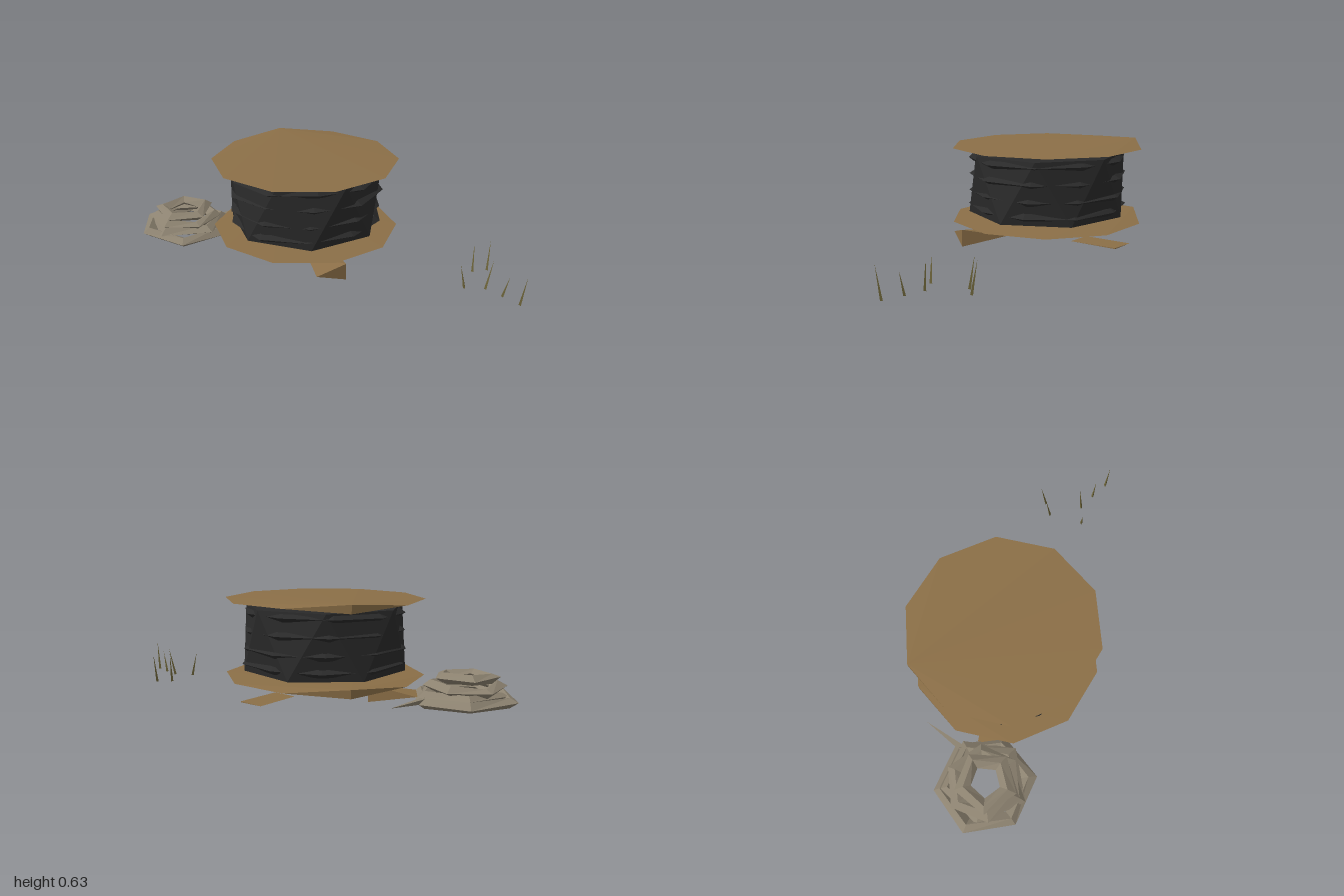
import * as THREE from 'three';

const wood = new THREE.MeshStandardMaterial({ color: 0x8b6f47 });
const cable = new THREE.MeshStandardMaterial({ color: 0x2a2a2a });
const rope = new THREE.MeshStandardMaterial({ color: 0x8c8270 });
const grass = new THREE.MeshStandardMaterial({ color: 0x6b6238 });
wood.name = 'wood';
cable.name = 'black cable';
rope.name = 'weathered rope';
grass.name = 'dry grass';

// Faceted mesh: every face gets its own normal
function faceted(name, geometry, material) {
  const g = geometry.index ? geometry.toNonIndexed() : geometry;
  g.computeVertexNormals();
  const mesh = new THREE.Mesh(g, material);
  mesh.name = name;
  return mesh;
}

// Slab that is thick at its first corner and thins to an edge at all the others.
// Corners are [x, z], counter-clockwise from above.
function wedgeSlab(name, corners, y, half) {
  const p = corners.map(([x, z]) => [x, y, z]);
  const top = [corners[0][0], y + half, corners[0][1]];
  const bottom = [corners[0][0], y - half, corners[0][1]];
  const n = p.length;
  const faces = [bottom, p[1], top, p[n - 1], bottom, top];
  for (let i = 1; i < n - 1; i++) {
    faces.push(top, p[i], p[i + 1], bottom, p[i + 1], p[i]);
  }
  const g = new THREE.BufferGeometry();
  g.setAttribute('position', new THREE.Float32BufferAttribute(faces.flat(), 3));
  return faceted(name, g, wood);
}

// Rough flat loop with few sides
function looseRing(name, material, radius, tube, sides, squash, wobble, seed) {
  const g = new THREE.TorusGeometry(radius, tube, 4, sides);
  g.rotateX(Math.PI / 2);
  g.scale(1, squash, 1);
  const pos = g.attributes.position;
  for (let i = 0; i < pos.count; i++) {
    const x = pos.getX(i), y = pos.getY(i), z = pos.getZ(i);
    const k = 1 + wobble * Math.sin(x * 23 + z * 17 + seed * 2.1);
    const dy = wobble * 0.25 * Math.sin(x * 19 - z * 29 + seed * 3.7);
    pos.setXYZ(i, x * k, y + dy, z * k);
  }
  g.rotateY(seed * 1.3);
  return faceted(name, g, material);
}

// Thin three-sided spike between two points
function spike(name, from, to, radius, material) {
  const a = new THREE.Vector3(...from), d = new THREE.Vector3(...to).sub(a);
  const g = new THREE.ConeGeometry(radius, d.length(), 3);
  g.translate(0, d.length() / 2, 0);
  const mesh = faceted(name, g, material);
  mesh.position.copy(a);
  mesh.quaternion.setFromUnitVectors(new THREE.Vector3(0, 1, 0), d.normalize());
  return mesh;
}

function createSpool() {
  const spool = new THREE.Group();
  spool.name = 'cableSpool';
  spool.position.set(0.008, 0, -0.222);

  // Ten-sided end discs
  const disc = Array.from({ length: 10 }, (_, i) => {
    const a = Math.PI + i * Math.PI / 5;
    return [0.596 * Math.sin(a), 0.596 * Math.cos(a)];
  });
  spool.add(wedgeSlab('lowerDisc', disc, 0.15, 0.025));
  spool.add(wedgeSlab('upperDisc', disc, 0.605, 0.025));

  // Core inside the winding
  const core = faceted('core', new THREE.CylinderGeometry(0.3, 0.3, 0.41, 8), wood);
  core.position.y = 0.375;
  spool.add(core);

  // Wound drum: seven sides, upper rim turned half a side
  const g = new THREE.CylinderGeometry(0.485, 0.485, 0.38, 7);
  g.rotateY(Math.PI / 2);
  const pos = g.attributes.position, v = new THREE.Vector3();
  for (let i = 0; i < pos.count; i++) {
    v.fromBufferAttribute(pos, i);
    if (v.y > 0) v.applyAxisAngle(new THREE.Vector3(0, 1, 0), -Math.PI / 7);
    pos.setXYZ(i, v.x, v.y, v.z);
  }
  const drum = faceted('woundDrum', g, cable);
  drum.position.y = 0.377;
  spool.add(drum);

  // Outer cable turns
  [0.235, 0.33, 0.43, 0.535].forEach((y, i) => {
    const turn = looseRing('cableTurn', cable, 0.457, 0.035, 10, 0.65, 0.02, i + 1);
    turn.position.y = y;
    spool.add(turn);
  });
  return spool;
}

function createRopeCoil() {
  const coil = new THREE.Group();
  coil.name = 'ropeCoil';
  // x, y, z, radius, sides
  [
    [-0.70, 0.06, -0.66, 0.265, 6],
    [-0.69, 0.085, -0.66, 0.225, 5],
    [-0.71, 0.125, -0.66, 0.19, 6],
    [-0.715, 0.18, -0.65, 0.145, 5],
  ].forEach(([x, y, z, r, sides], i) => {
    const ring = looseRing('ropeRing', rope, r, 0.05, sides, 0.6, 0.04, i + 1);
    ring.position.set(x, y, z);
    coil.add(ring);
  });
  coil.add(spike('looseRopeEnd', [-0.46, 0.07, -0.7], [-0.2, 0.07, -0.85], 0.025, rope));
  return coil;
}

export function createModel() {
  const model = new THREE.Group();
  model.name = 'cableSpoolScene';
  model.add(createSpool(), createRopeCoil());

  // Wood scraps on the ground
  model.add(wedgeSlab('backScrap', [[-0.2, -0.44], [-0.44, -0.6], [-0.54, -0.45], [-0.3, -0.28]], 0.063, 0.053));
  model.add(wedgeSlab('frontScrap', [[0.09, 0.34], [0.11, 0.07], [-0.07, 0.07], [-0.1, 0.35]], 0.063, 0.053));
  model.add(wedgeSlab('flatScrap', [[0.55, -0.47], [0.46, -0.6], [0.23, -0.41], [0.32, -0.28]], 0.06, 0.003));

  // Grass blades: base x, base z, tip x, tip z, height
  const tuft = new THREE.Group();
  tuft.name = 'grassTuft';
  [
    [0.732, 0.64, 0.702, 0.63, 0.155],
    [0.845, 0.69, 0.885, 0.69, 0.185],
    [0.88, 0.465, 0.892, 0.44, 0.185],
    [0.895, 0.8, 0.915, 0.83, 0.14],
    [0.94, 0.92, 0.952, 0.95, 0.19],
    [0.975, 0.475, 0.998, 0.45, 0.19],
  ].forEach(([x, z, tx, tz, h]) => {
    tuft.add(spike('grassBlade', [x, 0, z], [tx, h, tz], 0.009, grass));
  });
  model.add(tuft);
  return model;
}
